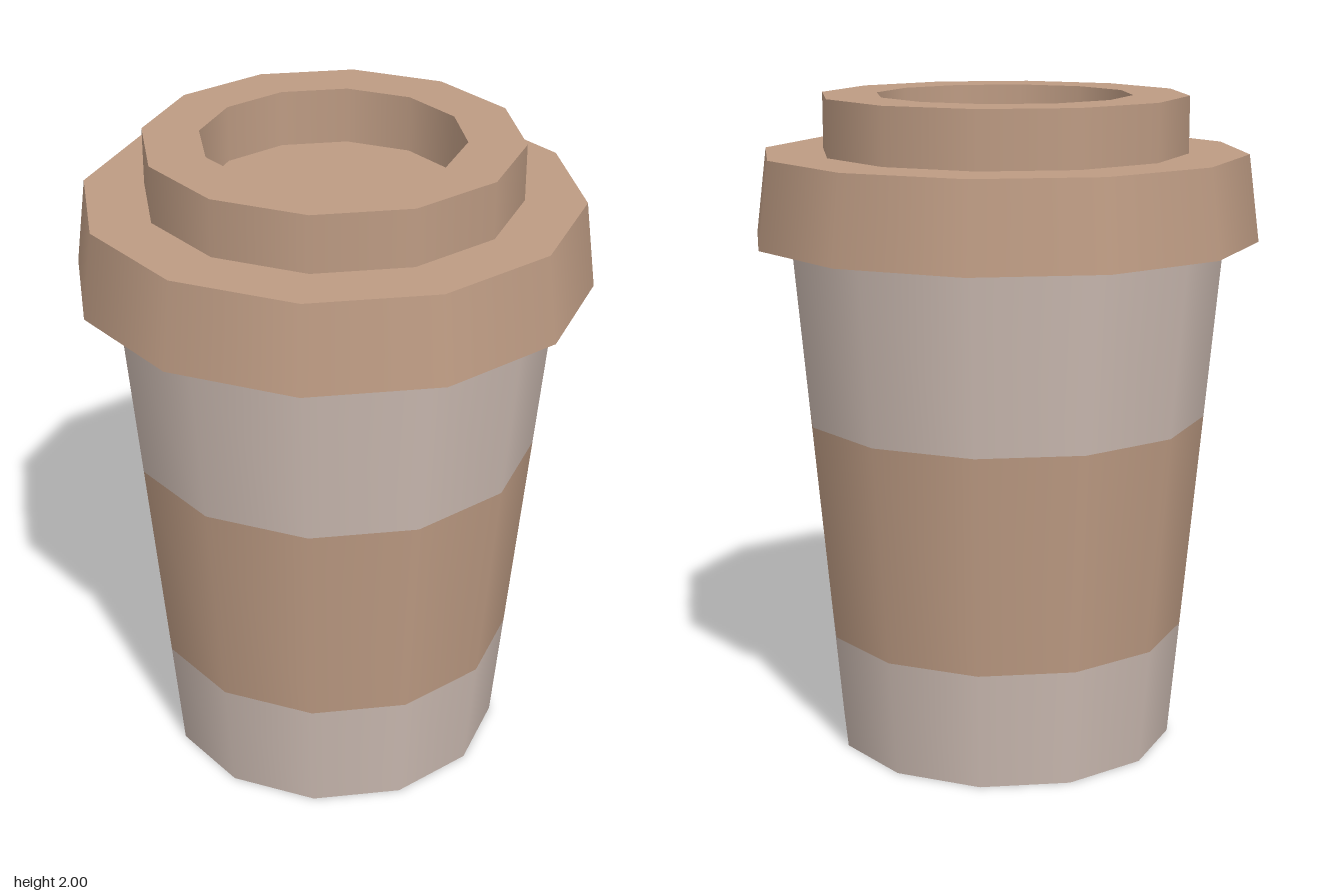
import * as THREE from 'three';
import { mergeGeometries } from 'three/addons/utils/BufferGeometryUtils.js';

const SIDES = 12;

// Turns a profile of [radius, height] points; each step keeps its own normals so rims stay sharp.
function turned(profile) {
  const bands = [];
  for (let i = 0; i < profile.length - 1; i++) {
    const pts = [profile[i], profile[i + 1]].map(([r, y]) => new THREE.Vector2(r, y));
    bands.push(new THREE.LatheGeometry(pts, SIDES));
  }
  return mergeGeometries(bands);
}

// Radius of the tapered cup wall at a given height
const wall = (y) => [0.523 + (0.665 - 0.523) * (y / 1.57), y];

export function createModel() {
  const group = new THREE.Group();
  const paper = new THREE.MeshStandardMaterial({ color: 0xcbbab1 });
  paper.name = 'pale paper';
  const cardboard = new THREE.MeshStandardMaterial({ color: 0xbd9b83 });
  cardboard.name = 'brown cardboard';

  const add = (name, profile, material) => {
    const mesh = new THREE.Mesh(turned(profile), material);
    mesh.name = name;
    group.add(mesh);
  };

  // Cup body with a flush sleeve band
  add('cupBase', [[0, 0], wall(0), wall(0.36)], paper);
  add('sleeve', [wall(0.36), wall(1.03)], cardboard);
  add('cupUpper', [wall(1.03), wall(1.57)], paper);

  // Lid: underside, flared skirt, shoulder, raised ring and sunken centre
  add('lid', [
    [0, 1.57], [0.768, 1.57], [0.735, 1.83], [0.555, 1.83],
    [0.555, 2], [0.387, 2], [0.387, 1.83], [0, 1.83],
  ], cardboard);

  return group;
}
